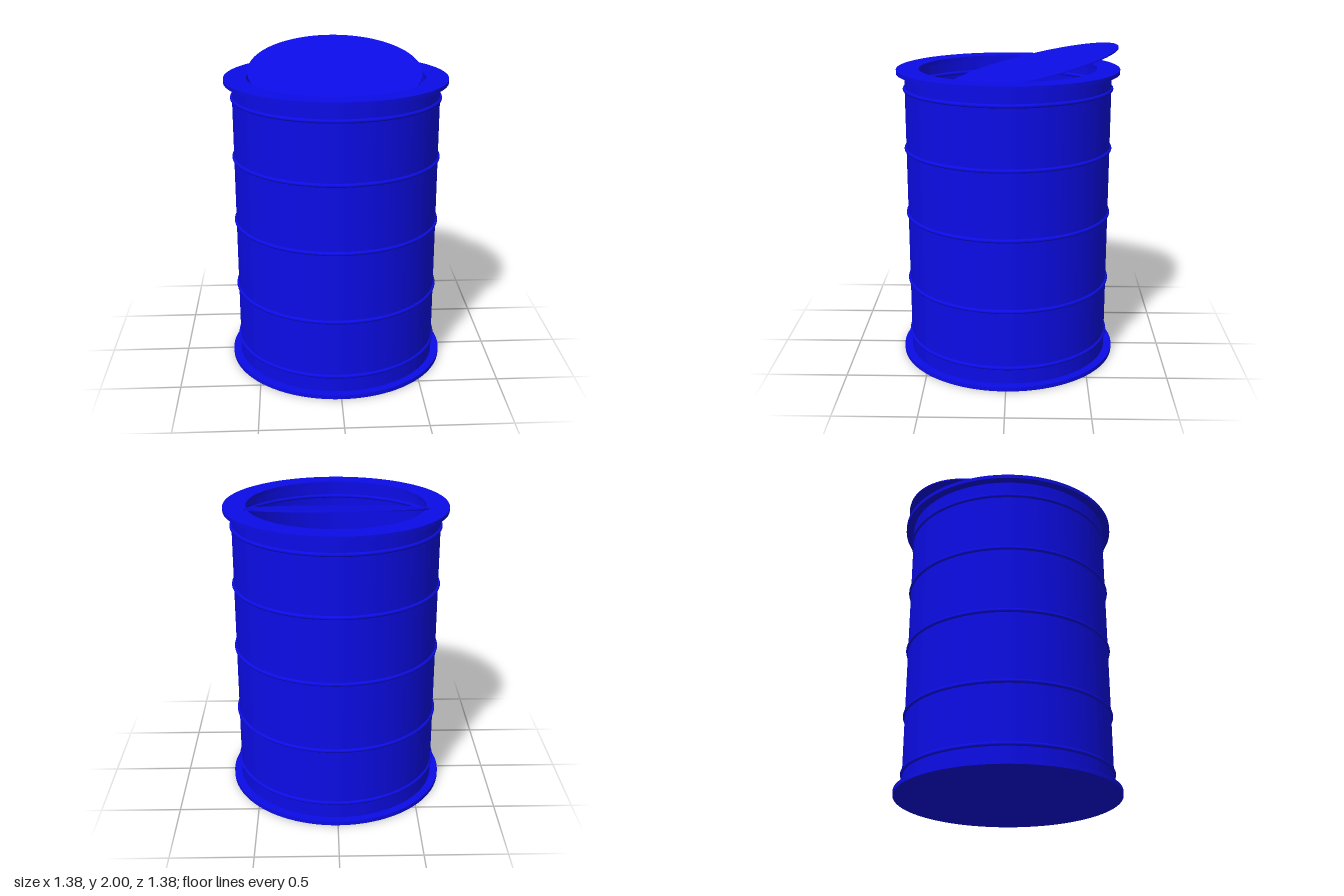
import * as THREE from 'three';

const SEG = 96;
const blue = new THREE.MeshStandardMaterial({ color: 0x0d0df0 });
blue.name = 'barrel blue';
blue.side = THREE.DoubleSide;
const pale = new THREE.MeshStandardMaterial({ color: 0xf2f2f2 });
pale.name = 'contents pale grey';

function add(group, name, geometry, material, y = 0, z = 0) {
  const mesh = new THREE.Mesh(geometry, material);
  mesh.name = name;
  mesh.position.set(0, y, z);
  group.add(mesh);
  return mesh;
}

// Flat ring with a central hole, bottom face at y = 0
function flange(outer, inner, height) {
  const shape = new THREE.Shape().absarc(0, 0, outer, 0, Math.PI * 2);
  shape.holes.push(new THREE.Path().absarc(0, 0, inner, 0, Math.PI * 2, true));
  return new THREE.ExtrudeGeometry(shape, { depth: height, bevelEnabled: false, curveSegments: SEG })
    .rotateX(-Math.PI / 2);
}

export function createModel() {
  const barrel = new THREE.Group();
  barrel.name = 'barrel';

  // Thin open wall
  add(barrel, 'wall', new THREE.CylinderGeometry(0.64, 0.64, 1.82, SEG, 1, true), blue, 0.93);

  // Rolled hoops around the wall
  for (const y of [0.13, 0.5, 0.945, 1.365, 1.74]) {
    add(barrel, 'hoop', new THREE.TorusGeometry(0.64, 0.012, 12, SEG).rotateX(Math.PI / 2), blue, y);
  }

  // Closed base and open top rim
  add(barrel, 'base', new THREE.CylinderGeometry(0.69, 0.69, 0.026, SEG), blue, 0.013);
  add(barrel, 'topRim', flange(0.69, 0.55, 0.024), blue, 1.836);

  // Surface of the contents
  add(barrel, 'contents', new THREE.CylinderGeometry(0.636, 0.636, 0.008, SEG), pale, 1.495);

  // Loose lid, tilted up at the back
  const lid = add(barrel, 'lid', new THREE.CylinderGeometry(0.549, 0.549, 0.008, SEG), blue, 1.866, -0.142);
  lid.rotation.x = Math.atan(0.24);

  return barrel;
}
